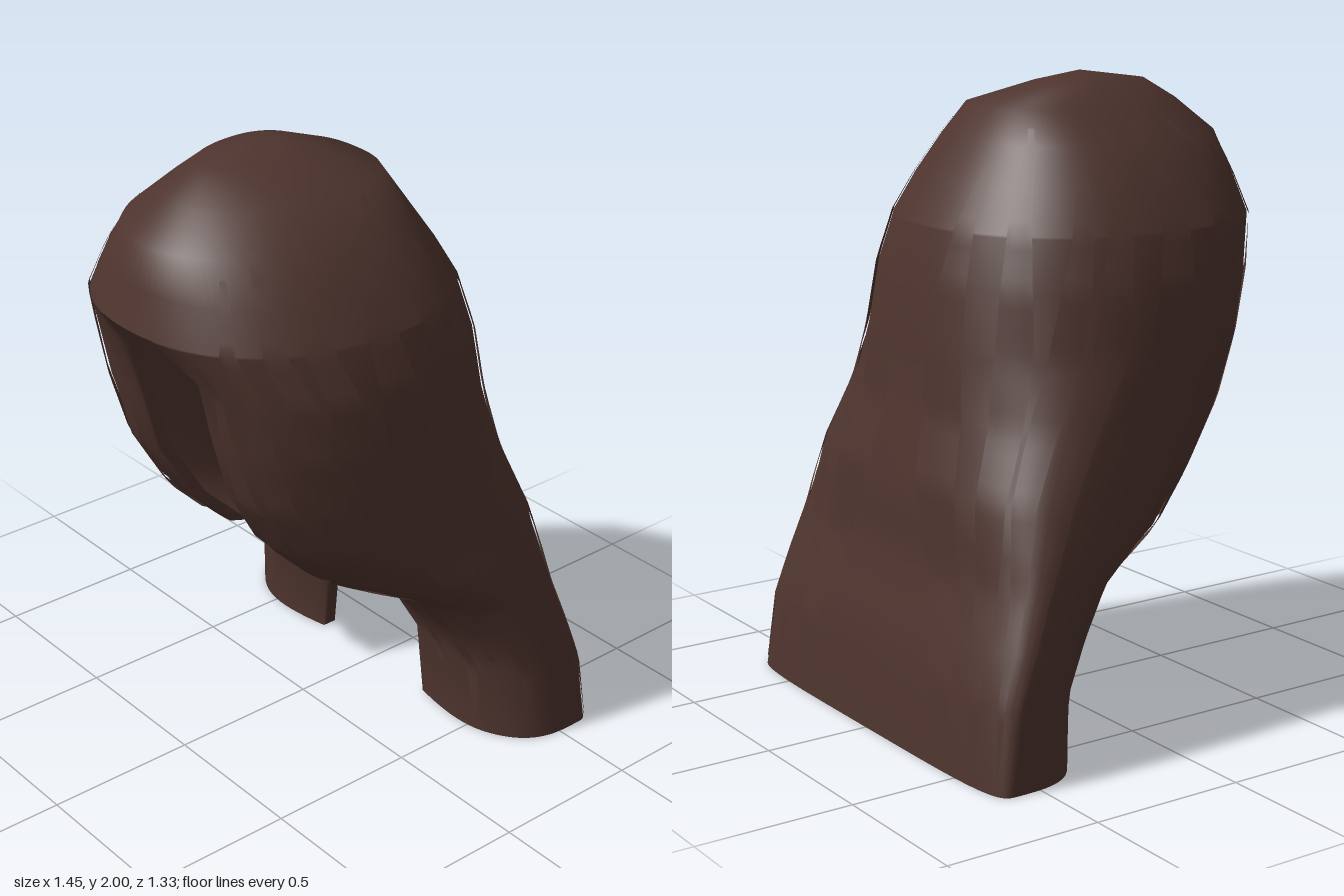
import * as THREE from 'three';
import { mergeVertices } from 'three/addons/utils/BufferGeometryUtils.js';

// cross-sections: height, half width, back z, widest z, front z,
// back roundness, front roundness, half gap at the face
const ROWS = [
  [2.0, 0.0, 0.1, 0.1, 0.1, 1, 1, 0],
  [1.965, 0.13, -0.03, 0.12, 0.35, 0.9, 1, 0.03],
  [1.9, 0.26, -0.21, 0.1, 0.48, 0.8, 1, 0.06],
  [1.8, 0.37, -0.27, 0.1, 0.6, 0.85, 0.95, 0.08],
  [1.68, 0.455, -0.35, 0.09, 0.635, 0.88, 0.92, 0.1],
  [1.555, 0.52, -0.42, 0.08, 0.67, 0.88, 0.9, 0.12],
  [1.548, 0.522, -0.42, 0.08, 0.67, 0.88, 0.9, 0.12],
  [1.4, 0.565, -0.46, 0.07, 0.62, 0.86, 0.86, 0.18],
  [1.2, 0.58, -0.485, 0.02, 0.57, 0.84, 0.86, 0.175],
  [1.0, 0.6, -0.5, -0.14, 0.52, 0.8, 0.88, 0.18],
  [0.8, 0.635, -0.555, -0.28, 0.4, 0.74, 0.92, 0.16],
  [0.66, 0.66, -0.56, -0.36, 0.25, 0.7, 0.88, 0.15],
  [0.55, 0.675, -0.565, -0.41, -0.03, 0.66, 0.75, 0.2],
  [0.4, 0.695, -0.605, -0.47, -0.16, 0.6, 0.7, 0.2],
  [0.25, 0.71, -0.64, -0.53, -0.24, 0.53, 0.67, 0.23],
  [0.0, 0.722, -0.66, -0.57, -0.245, 0.45, 0.65, 0.26],
];
const FACE_TOP = 5; // last row closed over the forehead
const EDGE = 1.08; // columns beyond 1 close the forehead or curl in beside the face

// section values at a given height
function sectionAt(y) {
  let i = 0;
  while (i < ROWS.length - 2 && y < ROWS[i + 1][0]) i++;
  const a = ROWS[i], b = ROWS[i + 1];
  const t = (a[0] - y) / (a[0] - b[0]);
  return a.map((v, k) => v + (b[k] - v) * t);
}

// s runs from the right face edge (-1) round the back (0) to the left face edge (1)
function hairPoint(s, y, lift = 0) {
  const [, w, back, mid, front, backPower, frontPower, gap] = sectionAt(y);
  const open = y < ROWS[FACE_TOP][0];
  const end = Math.PI - (w > 0 ? Math.asin(Math.pow(gap / w, 1 / frontPower)) : 0);
  const beyond = Math.max(0, Math.abs(s) - 1) / (EDGE - 1);
  const a = Math.min(1, Math.abs(s)) * end + (open ? 0 : beyond * (Math.PI - end));
  const c = Math.cos(a);
  const p = c > 0 ? backPower : frontPower;
  const x = w * Math.pow(Math.max(0, Math.sin(a)), p) * (1 + lift);
  let z = mid + (c > 0 ? back - mid : front - mid) * Math.pow(Math.abs(c), p) * (1 + lift);
  if (open) {
    // rounded inner edge of the locks
    const fade = Math.min(1, (ROWS[FACE_TOP][0] - y) / 0.15);
    const round = Math.max(0, Math.min(1, Math.abs(s)) - 0.8) / 0.2;
    z -= fade * (0.06 * round * round + 0.05 * beyond);
  }
  const peak = -0.07 * Math.max(0, (y - 1.9) / 0.1);
  return [Math.sign(s) * x + peak, y, z];
}

// surface through a grid of points, rows from top to bottom; keep() can leave out faces
function sheet(heights, columns, point, keep = () => true) {
  const pos = [], index = [];
  heights.forEach((y, r) => {
    for (let c = 0; c <= columns; c++) pos.push(...point(c / columns, y, r / (heights.length - 1)));
  });
  for (let r = 0; r < heights.length - 1; r++) {
    for (let c = 0; c < columns; c++) {
      if (!keep(r, (c + 0.5) / columns)) continue;
      const a = r * (columns + 1) + c, d = a + columns + 1;
      index.push(a, a + 1, d, a + 1, d + 1, d);
    }
  }
  const g = new THREE.BufferGeometry();
  g.setAttribute('position', new THREE.Float32BufferAttribute(pos, 3));
  g.setIndex(index);
  const merged = mergeVertices(g, 1e-4);
  merged.computeVertexNormals();
  return merged;
}

export function createModel() {
  const group = new THREE.Group();
  const brown = new THREE.MeshStandardMaterial({ color: 0x4e342e, side: THREE.DoubleSide });
  brown.name = 'dark brown hair';
  const add = (name, geometry) => {
    const mesh = new THREE.Mesh(geometry, brown);
    mesh.name = name;
    group.add(mesh);
  };

  // main shell: closed crown, open face, hanging side locks
  const around = (u) => (u * 2 - 1) * EDGE;
  add('hairShell', sheet(ROWS.map((r) => r[0]), 108, (u, y) => hairPoint(around(u), y),
    (r, u) => r !== FACE_TOP || Math.abs(around(u)) < 1));

  // thin overlapping strands: position round the head, width, top, bottom
  const strands = [
    [0.1, 0.1, 1.75, 0.02], [0.24, 0.09, 1.85, 0.02], [0.36, 0.08, 1.8, 0.05],
    [0.46, 0.08, 1.88, 0.02], [0.56, 0.08, 1.85, 0.02], [0.66, 0.08, 1.88, 0.1],
    [0.76, 0.07, 1.82, 0.3], [0.85, 0.06, 1.75, 0.05], [0.93, 0.05, 1.5, 0.2],
  ];
  for (const side of [-1, 1]) {
    for (const [s, width, top, bottom] of strands) {
      const heights = Array.from({ length: 45 }, (_, i) => top + (bottom - top) * i / 44);
      add(side > 0 ? 'leftStrand' : 'rightStrand', sheet(heights, 4, (u, y, t) => {
        // tapered ends that settle onto the shell, with a slight wave
        const taper = Math.sin(Math.PI * t);
        const spread = width * (0.25 + 0.75 * taper);
        const at = s + 0.012 * Math.sin(t * 7 + s * 20) + (u - 0.5) * spread * side;
        return hairPoint(side * at, y, 0.008 + 0.01 * taper);
      }));
    }
  }
  return group;
}
